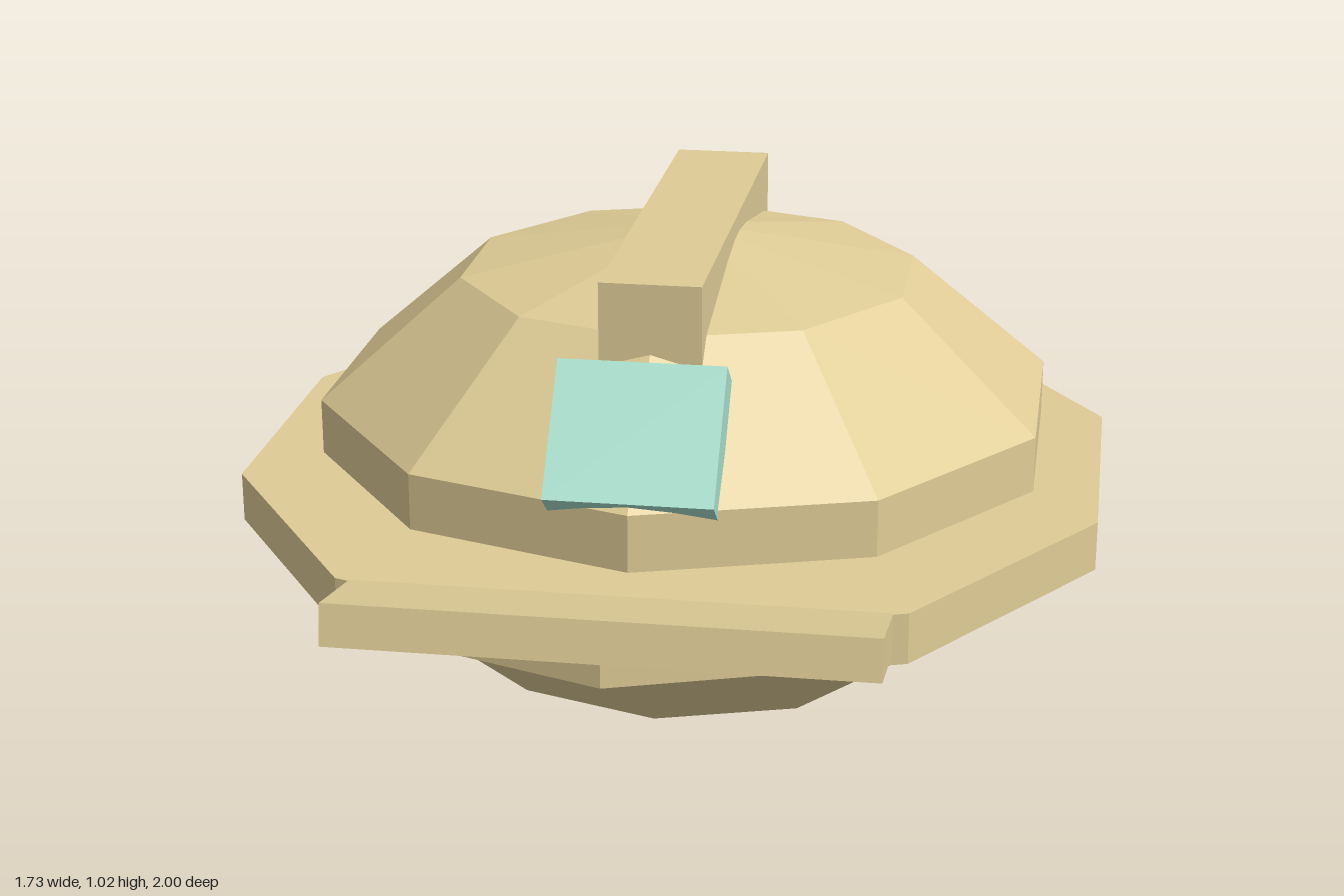
import * as THREE from 'three';

const tan = new THREE.MeshStandardMaterial({ color: 0xdfcc96 });
tan.name = 'sandTan';
const teal = new THREE.MeshStandardMaterial({ color: 0xa8e0cd });
teal.name = 'paleTeal';

// Faceted version of a geometry: one normal per face
function faceted(geometry) {
  const flat = geometry.toNonIndexed();
  flat.computeVertexNormals();
  return flat;
}

export function createModel() {
  const model = new THREE.Group();
  model.name = 'helmetBody';

  function add(name, geometry, material, [x, y, z], tilt = 0) {
    const mesh = new THREE.Mesh(geometry, material);
    mesh.name = name;
    mesh.position.set(x, y, z);
    mesh.rotation.x = tilt;
    model.add(mesh);
  }

  // Ten-sided squashed shell, with a corner facing front and back
  const shell = new THREE.SphereGeometry(0.81, 10, 5);
  shell.rotateY(Math.PI / 2).scale(1, 0.5 / 0.81, 1);
  add('shell', faceted(shell), tan, [0, 0.505, -0.1]);

  // Ten-sided rim around the middle
  const rim = new THREE.CylinderGeometry(1, 1, 0.1, 10);
  rim.scale(0.908, 1, 0.982);
  add('rim', faceted(rim), tan, [0, 0.495, -0.018]);

  // Upturned visor at the front of the rim
  add('visor', new THREE.BoxGeometry(1.01, 0.08, 0.4), tan, [0, 0.507, 0.794], -0.2);

  // Ridge bar over the top
  add('crest', new THREE.BoxGeometry(0.2, 0.205, 1.01), tan, [0, 0.9225, -0.1]);

  // Badge plate leaning on the front of the dome
  add('badge', new THREE.BoxGeometry(0.324, 0.28, 0.08), teal, [0, 0.767, 0.553], -0.672);

  return model;
}
